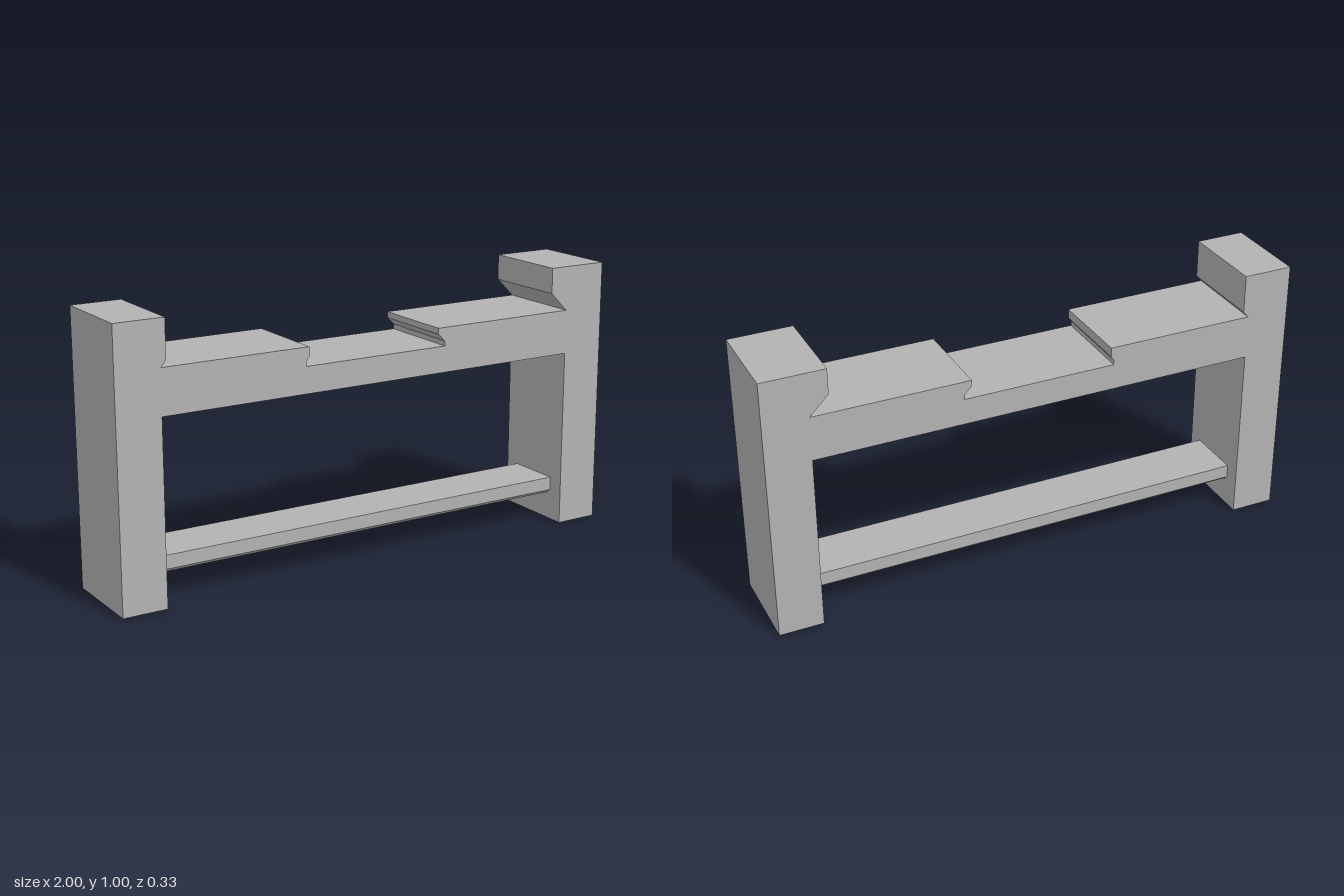
import * as THREE from 'three';

// Extrudes an outline of [a, b] points, centred on its depth
function prism(points, depth) {
  const shape = new THREE.Shape(points.map(([a, b]) => new THREE.Vector2(a, b)));
  return new THREE.ExtrudeGeometry(shape, { depth, bevelEnabled: false }).translate(0, 0, -depth / 2);
}

export function createModel() {
  const group = new THREE.Group();
  const grey = new THREE.MeshStandardMaterial({ color: 0xb2b2b2 });
  grey.name = 'grey';

  // Frame: two legs, a bridge with an undercut notch, and undercut end blocks
  const frame = new THREE.Mesh(prism([
    [-1, 0], [-0.835, 0], [-0.835, 0.67], [0.835, 0.67], [0.835, 0], [1, 0],
    [1, 1], [0.765, 1], [0.765, 0.905], [0.835, 0.835],
    [0.257, 0.835], [0.257, 0.813], [0.285, 0.785], [0.285, 0.767],
    [-0.288, 0.767], [-0.288, 0.785], [-0.277, 0.8], [-0.277, 0.835],
    [-0.835, 0.835], [-0.815, 0.858], [-0.815, 1], [-1, 1],
  ], 0.333), grey);
  frame.name = 'frame';
  group.add(frame);

  // Lower crossbar with chamfered bottom edges, running between the legs
  const bar = new THREE.Mesh(prism([
    [-0.092, 0.104], [0.092, 0.104], [0.105, 0.117],
    [0.105, 0.167], [-0.105, 0.167], [-0.105, 0.117],
  ], 1.67).rotateY(Math.PI / 2), grey);
  bar.name = 'crossbar';
  group.add(bar);

  return group;
}
